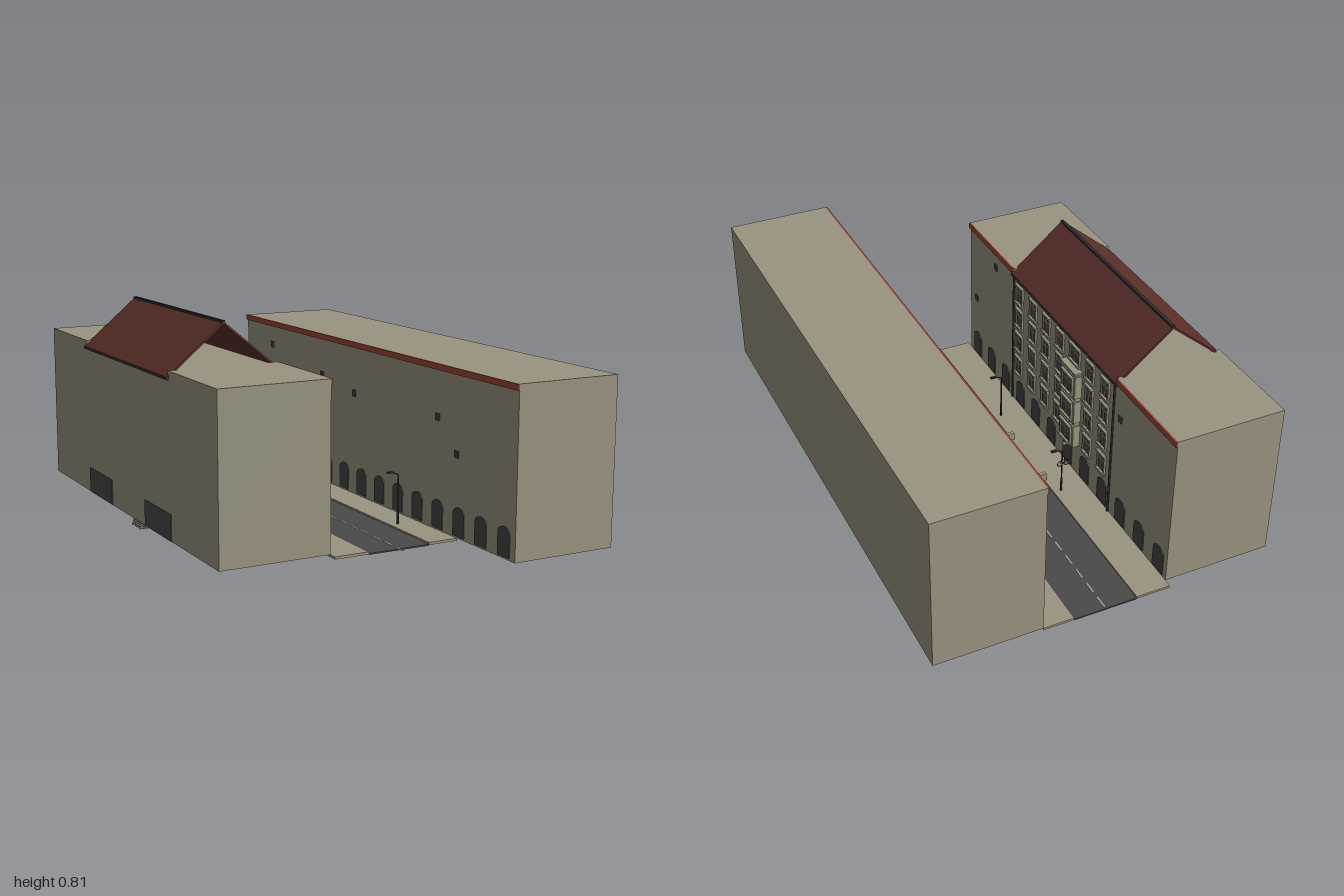
import * as THREE from 'three';

const mat = (name, color, side = THREE.FrontSide) => {
  const m = new THREE.MeshStandardMaterial({ color, side });
  m.name = name;
  return m;
};

export function createModel() {
  const root = new THREE.Group();
  root.name = 'streetBlock';
  const stone = mat('stone', 0x9a9480);
  const asphalt = mat('asphalt', 0x4a4a4b);
  const glass = mat('darkGlass', 0x444547);
  const tile = mat('roofTile', 0x5c3029);
  const trim = mat('redTrim', 0x984638);
  const iron = mat('darkIron', 0x2c2c2c);
  const paint = mat('lanePaint', 0xb5b2a8);

  const add = (parent, name, geo, material) => {
    const m = new THREE.Mesh(geo, material);
    m.name = name;
    parent.add(m);
    return m;
  };
  // Box given by its minimum and maximum on each axis
  const box = (parent, name, x0, x1, y0, y1, z0, z1, material) => {
    const m = add(parent, name, new THREE.BoxGeometry(x1 - x0, y1 - y0, z1 - z0), material);
    m.position.set((x0 + x1) / 2, (y0 + y1) / 2, (z0 + z1) / 2);
    return m;
  };
  const group = (name) => {
    const g = new THREE.Group();
    g.name = name;
    root.add(g);
    return g;
  };
  // Round bar between two points
  const bar = (parent, name, a, b, r, material) => {
    const p = new THREE.Vector3(...a), q = new THREE.Vector3(...b);
    const m = add(parent, name, new THREE.CylinderGeometry(r, r, p.distanceTo(q), 8), material);
    m.position.copy(p).add(q).multiplyScalar(0.5);
    m.quaternion.setFromUnitVectors(new THREE.Vector3(0, 1, 0), q.sub(p).normalize());
    return m;
  };

  // Street: road, pavements, kerbs and lane dashes
  const street = group('street');
  box(street, 'road', -0.105, 0.135, 0.042, 0.047, -1, 0.66, asphalt);
  box(street, 'leftPavement', -0.235, -0.105, 0.044, 0.053, -1, 0.66, stone);
  box(street, 'rightPavement', 0.135, 0.25, 0.044, 0.053, -1, 0.66, stone);
  for (let z = -0.99; z < 0.66; z += 0.0775)
    box(street, 'laneDash', 0.012, 0.017, 0.0465, 0.048, z, z + 0.05, paint);

  // Raised parklet with low planter walls
  const parklet = group('parklet');
  box(parklet, 'deck', -0.115, -0.045, 0.046, 0.054, -0.31, -0.02, stone);
  for (const z of [-0.31, -0.035])
    box(parklet, 'endPlanter', -0.113, -0.047, 0.05, 0.083, z, z + 0.015, stone);
  box(parklet, 'streetPlanter', -0.06, -0.046, 0.05, 0.083, -0.305, -0.025, stone);

  // Neighbouring buildings
  const blocks = group('buildings');
  box(blocks, 'oppositeBlock', 0.25, 0.65, 0.053, 0.65, -1, 1, stone);
  box(blocks, 'frontNeighbour', -0.645, -0.235, 0.053, 0.65, 0.23, 0.63, stone);
  box(blocks, 'backNeighbour', -0.645, -0.235, 0.053, 0.65, -0.97, -0.57, stone);
  box(blocks, 'oppositeCornice', 0.243, 0.25, 0.628, 0.65, -1, 1, trim);
  box(blocks, 'frontCornice', -0.235, -0.228, 0.628, 0.65, 0.24, 0.63, trim);
  box(blocks, 'backCornice', -0.235, -0.228, 0.628, 0.65, -0.97, -0.58, trim);

  // Central house body, chamfered under the eaves
  const house = group('house');
  const outline = new THREE.Shape([
    [-0.645, 0.053], [-0.235, 0.053], [-0.235, 0.622], [-0.268, 0.65], [-0.612, 0.65], [-0.645, 0.622],
  ].map((p) => new THREE.Vector2(...p)));
  const body = add(house, 'houseBody', new THREE.ExtrudeGeometry(outline, { depth: 0.8, bevelEnabled: false }), stone);
  body.position.z = -0.57;

  // Open gable roof of two thin slopes with gutters
  for (const s of [-1, 1]) {
    const slope = new THREE.Shape([
      [0, 0.806], [s * 0.213, 0.629], [s * 0.213, 0.621], [0, 0.797],
    ].map((p) => new THREE.Vector2(...p)));
    const roof = add(house, 'roofSlope', new THREE.ExtrudeGeometry(slope, { depth: 0.82, bevelEnabled: false }), tile);
    roof.position.set(-0.44, 0, -0.58);
    const gx = -0.44 + s * 0.211;
    bar(house, 'gutter', [gx, 0.623, -0.58], [gx, 0.623, 0.24], 0.005, iron);
  }
  box(house, 'ridge', -0.446, -0.434, 0.799, 0.809, -0.58, 0.24, iron);
  for (const z of [-0.565, 0.225]) bar(house, 'downpipe', [-0.231, 0.055, z], [-0.231, 0.62, z], 0.004, iron);

  // Framed windows on the street face
  const frameWindow = (x, y, z, w, h) => {
    const g = new THREE.Group();
    g.name = 'window';
    g.position.set(x, y, z);
    house.add(g);
    box(g, 'pane', 0, 0.003, -h / 2, h / 2, -w / 2, w / 2, glass);
    for (const s of [-1, 1]) {
      const e = s * w / 2;
      box(g, 'jamb', 0, 0.007, -h / 2, h / 2, e - 0.004, e + 0.004, stone);
    }
    box(g, 'mullion', 0, 0.005, -h / 2, h / 2, -0.002, 0.002, stone);
    box(g, 'transom', 0, 0.005, h * 0.15, h * 0.15 + 0.004, -w / 2, w / 2, stone);
    box(g, 'sill', 0, 0.012, -h / 2 - 0.007, -h / 2, -w / 2 - 0.008, w / 2 + 0.008, stone);
    box(g, 'lintel', 0, 0.01, h / 2, h / 2 + 0.008, -w / 2 - 0.006, w / 2 + 0.006, stone);
  };
  const rows = [0.235, 0.345, 0.455, 0.56];
  for (const y of rows)
    for (const z of [0.175, 0.06, -0.05, -0.16, -0.39, -0.5]) frameWindow(-0.235, y, z, 0.05, 0.068);
  frameWindow(-0.235, 0.565, -0.275, 0.07, 0.06);

  // Bay stack with a tapered corbel
  box(house, 'bayCore', -0.235, -0.213, 0.19, 0.515, -0.325, -0.225, stone);
  for (const y of rows.slice(0, 3)) {
    box(house, 'bay', -0.235, -0.207, y - 0.047, y + 0.047, -0.33, -0.22, stone);
    frameWindow(-0.207, y, -0.275, 0.075, 0.066);
  }
  box(house, 'bayCap', -0.235, -0.203, 0.513, 0.521, -0.333, -0.217, stone);
  for (let i = 0; i < 3; i++)
    box(house, 'bayCorbel', -0.235, -0.212 - i * 0.007, 0.18 - i * 0.008, 0.189 - i * 0.008, -0.32 + i * 0.01, -0.23 - i * 0.01, stone);
  box(house, 'hangingSign', -0.222, -0.204, 0.153, 0.168, -0.262, -0.257, stone);
  bar(house, 'signBracket', [-0.235, 0.171, -0.26], [-0.204, 0.171, -0.26], 0.002, iron);

  // Arched ground-floor openings along both sides of the street
  const arch = new THREE.Shape();
  arch.moveTo(-0.034, 0);
  arch.lineTo(0.034, 0);
  arch.lineTo(0.034, 0.08);
  arch.absellipse(0, 0.08, 0.034, 0.024, 0, Math.PI, false);
  arch.closePath();
  const archGeo = new THREE.ExtrudeGeometry(arch, { depth: 0.003, bevelEnabled: false, curveSegments: 8 });
  const addArch = (x, z, s) => {
    const m = add(blocks, 'archedOpening', archGeo, glass);
    m.position.set(x, 0.06, z);
    m.rotation.y = s * Math.PI / 2;
  };
  for (let z = 0.56; z > -0.96; z -= 0.134) addArch(-0.235, z, 1);
  for (let z = -0.94; z < 0.97; z += 0.134) addArch(0.25, z, -1);

  // Small wall fittings
  for (const [z, y] of [[-0.76, 0.55], [-0.515, 0.31], [-0.32, 0.485], [-0.06, 0.45], [0.526, 0.46], [0.65, 0.35]])
    box(blocks, 'wallVent', 0.246, 0.25, y - 0.013, y + 0.013, z - 0.012, z + 0.012, glass);
  for (const [z, y] of [[0.39, 0.57], [0.57, 0.33], [-0.61, 0.5]])
    box(blocks, 'wallVent', -0.235, -0.231, y - 0.013, y + 0.013, z - 0.012, z + 0.012, glass);

  // Rear gates
  for (const z of [-0.57, 0])
    box(blocks, 'rearGate', -0.648, -0.645, 0.054, 0.15, z, z + 0.24, asphalt);

  // Basement stair below the house
  const stair = group('basementStair');
  for (let i = 0; i < 7; i++)
    box(stair, 'tread', -0.61, -0.57, i * 0.0075, i * 0.0075 + 0.003, -0.225 + i * 0.004, -0.14, stone);
  box(stair, 'stairWall', -0.592, -0.588, 0, 0.054, -0.225, -0.14, stone);

  // Street lamps leaning over the road
  for (const [x, z, s] of [[-0.135, -0.385, 1], [-0.135, 0.13, 1], [0.168, -0.135, -1], [0.168, 0.4, -1]]) {
    const lamp = group('streetLamp');
    lamp.position.set(x, 0, z);
    bar(lamp, 'base', [0, 0.05, 0], [0, 0.11, 0], 0.004, iron);
    bar(lamp, 'post', [0, 0.1, 0], [0, 0.236, 0], 0.0025, iron);
    bar(lamp, 'arm', [0, 0.235, 0], [s * 0.028, 0.246, 0], 0.002, iron);
    box(lamp, 'lampHead', s * 0.035 - 0.011, s * 0.035 + 0.011, 0.243, 0.249, -0.005, 0.005, iron);
  }

  // Bicycle leaning by the house
  const bike = group('bicycle');
  bike.position.set(-0.208, 0.053, -0.26);
  for (const x of [-0.015, 0.012]) {
    const wheel = add(bike, 'wheel', new THREE.TorusGeometry(0.011, 0.0015, 6, 20), iron);
    wheel.position.set(x, 0.013, 0);
  }
  const joints = [[-0.015, 0.013, 0], [-0.008, 0.028, 0], [0.008, 0.028, 0], [0.012, 0.013, 0], [-0.002, 0.013, 0]];
  for (const [a, b] of [[0, 1], [1, 2], [2, 3], [0, 4], [4, 1], [4, 2]])
    bar(bike, 'frameTube', joints[a], joints[b], 0.001, iron);
  bar(bike, 'handlebar', [0.007, 0.032, -0.008], [0.007, 0.032, 0.008], 0.001, iron);
  box(bike, 'saddle', -0.013, -0.005, 0.03, 0.033, -0.003, 0.003, iron);

  return root;
}
